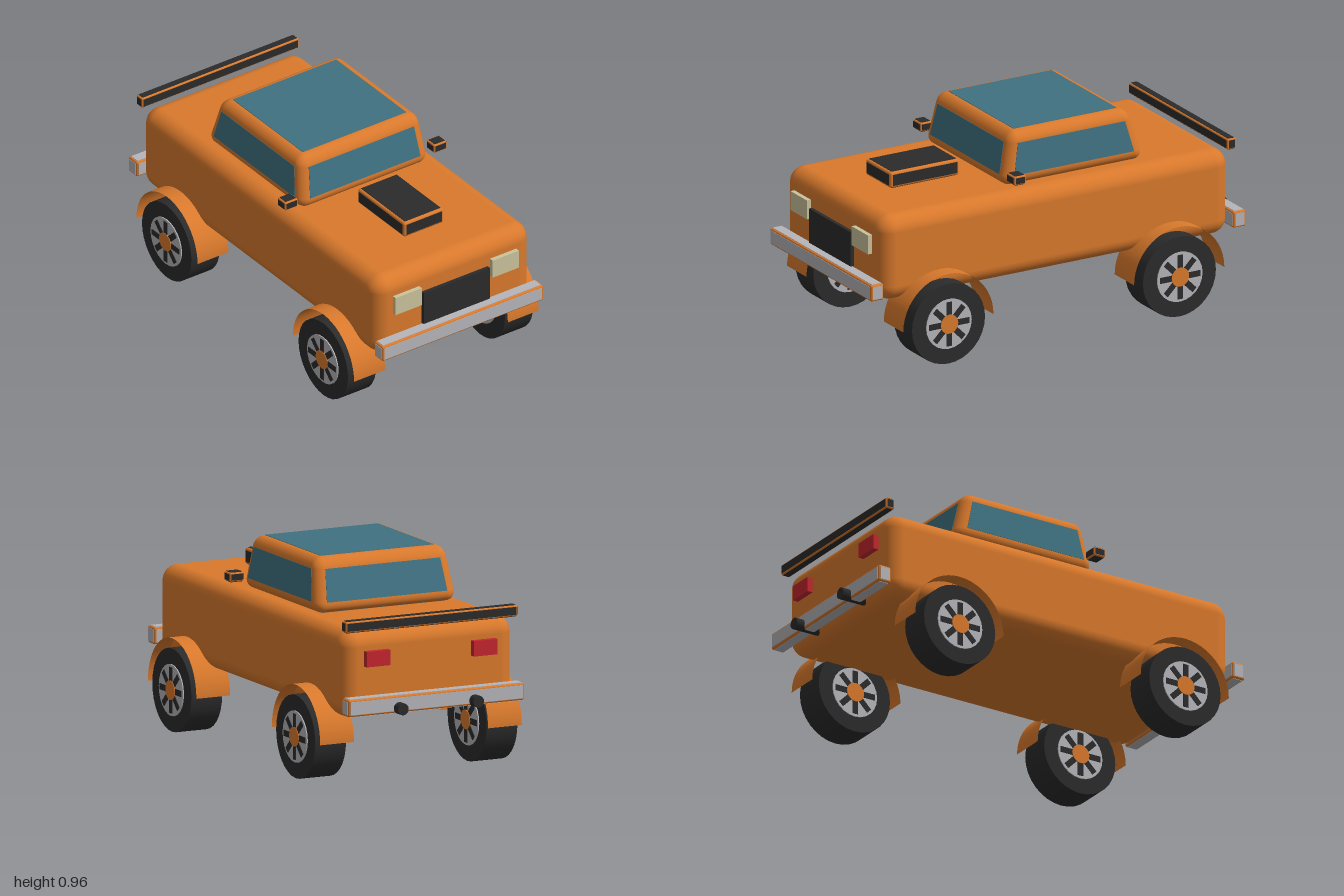
import * as THREE from 'three';
import { RoundedBoxGeometry } from 'three/addons/geometries/RoundedBoxGeometry.js';

const mat = (name, color, side = THREE.FrontSide) => {
  const m = new THREE.MeshStandardMaterial({ color, side });
  m.name = name;
  return m;
};

export function createModel() {
  const orange = mat('orange paint', 0xd9792c);
  const fenderOrange = mat('fender orange', 0xd9792c, THREE.DoubleSide);
  const glass = mat('blue glass', 0x3f7181);
  const black = mat('black trim', 0x2b2b2b);
  const chrome = mat('chrome', 0xb5b5ba);
  const cream = mat('headlight cream', 0xcbc39c);
  const red = mat('tail light red', 0xc4262e);

  const car = new THREE.Group();
  car.name = 'car';

  const add = (parent, name, geometry, material, x = 0, y = 0, z = 0) => {
    const m = new THREE.Mesh(geometry, material);
    m.name = name;
    m.position.set(x, y, z);
    parent.add(m);
    return m;
  };

  // Rounded box with painted edges and inset coloured panels on all six faces
  const trimBox = (name, [w, h, d], r, panel, [x, y, z], shape = (g) => g) => {
    const group = new THREE.Group();
    group.name = name;
    group.position.set(x, y, z);
    add(group, name + 'Frame', shape(new RoundedBoxGeometry(w, h, d, 4, r)), orange);
    const e = 0.004, i = 2 * r;
    [[w + e, h - i, d - i], [w - i, h + e, d - i], [w - i, h - i, d + e]].forEach((s) =>
      add(group, name + 'Panels', shape(new THREE.BoxGeometry(...s)), panel));
    car.add(group);
  };

  // Narrow a geometry towards its top, keeping its normals correct
  const taper = (g) => {
    const H = 0.245, kx = -0.167 / H, kz = -0.076 / H, drift = 0.01 / H;
    const p = g.attributes.position, n = g.attributes.normal;
    const v = new THREE.Vector3();
    for (let i = 0; i < p.count; i++) {
      const x = p.getX(i), y = p.getY(i), z = p.getZ(i);
      const t = y + H / 2, sx = 1 + kx * t, sz = 1 + kz * t;
      const nx = n.getX(i) / sx, nz = n.getZ(i) / sz;
      v.set(nx, n.getY(i) - nx * (x * kx + drift) - nz * z * kz, nz).normalize();
      n.setXYZ(i, v.x, v.y, v.z);
      p.setXYZ(i, x * sx + drift * t, y, z * sz);
    }
    return g;
  };

  // Body and cabin
  add(car, 'body', new RoundedBoxGeometry(1.816, 0.404, 0.864, 6, 0.075), orange, 0.021, 0.51, 0);
  trimBox('cabin', [0.744, 0.245, 0.716], 0.05, glass, [-0.118, 0.837, 0], taper);

  // Trim
  trimBox('hoodScoop', [0.36, 0.076, 0.22], 0.012, black, [0.516, 0.756, 0]);
  trimBox('rearSpoiler', [0.045, 0.05, 0.864], 0.007, black, [-0.889, 0.738, 0]);
  trimBox('frontBumper', [0.066, 0.078, 0.886], 0.009, chrome, [0.962, 0.377, 0]);
  trimBox('rearBumper', [0.066, 0.078, 0.886], 0.009, chrome, [-0.924, 0.377, 0]);
  add(car, 'grille', new THREE.BoxGeometry(0.04, 0.165, 0.364), black, 0.927, 0.498, 0);

  // Paired parts on both sides
  const pipe = new THREE.CylinderGeometry(0.027, 0.027, 0.14, 16).rotateZ(Math.PI / 2);
  for (const s of [-1, 1]) {
    trimBox('mirror', [0.06, 0.042, 0.07], 0.007, black, [0.22, 0.774, s * 0.41]);
    add(car, 'headlight', new THREE.BoxGeometry(0.04, 0.09, 0.144), cream, 0.93, 0.57, s * 0.267);
    add(car, 'tailLight', new THREE.BoxGeometry(0.04, 0.07, 0.12), red, -0.894, 0.584, s * 0.27);
    add(car, 'exhaustPipe', pipe, black, -0.93, 0.36, s * 0.19);
  }

  // Wheels with eight spokes on both faces, under thin half-round fenders
  const disc = (r, w, n) => new THREE.CylinderGeometry(r, r, w, n).rotateX(Math.PI / 2);
  const tire = disc(0.19, 0.155, 32), rim = disc(0.118, 0.165, 24), hub = disc(0.045, 0.175, 20);
  const spoke = new THREE.BoxGeometry(0.21, 0.028, 0.17);
  const fender = new THREE.CylinderGeometry(0.235, 0.235, 0.17, 24, 1, true, Math.PI / 2, Math.PI)
    .rotateX(Math.PI / 2);
  for (const x of [-0.57, 0.632]) {
    for (const s of [-1, 1]) {
      const wheel = new THREE.Group();
      wheel.name = 'wheel';
      wheel.position.set(x, 0.19, s * 0.432);
      add(wheel, 'tire', tire, black);
      add(wheel, 'rim', rim, chrome);
      add(wheel, 'hub', hub, orange);
      for (let i = 0; i < 4; i++) add(wheel, 'spoke', spoke, black).rotation.z = (i * Math.PI) / 4;
      car.add(wheel);
      add(car, 'fender', fender, fenderOrange, x, 0.191, s * 0.423);
    }
  }
  return car;
}
